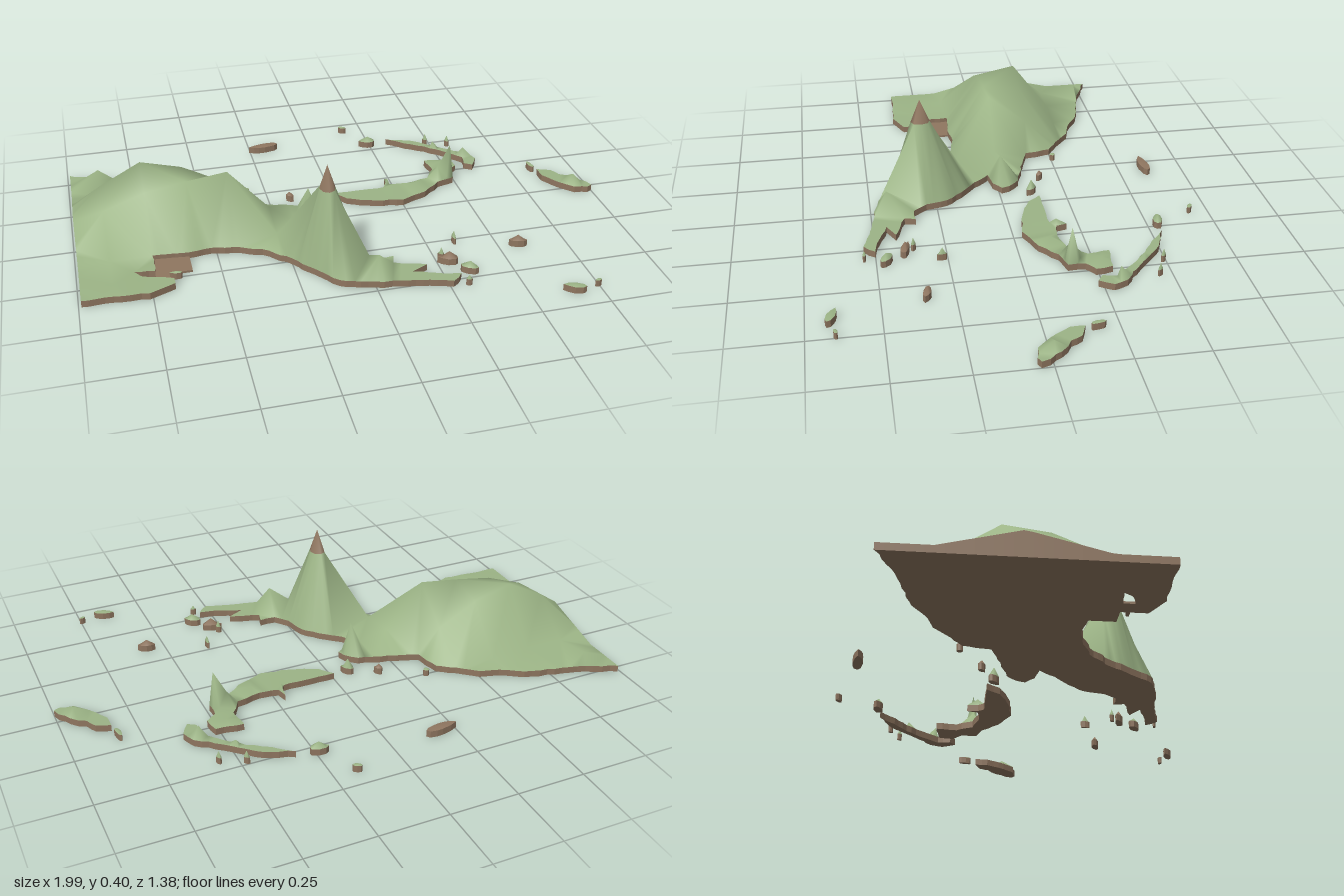
import * as THREE from 'three';

const grass = new THREE.MeshStandardMaterial({ color: 0x9cb486 });
grass.name = 'grass green';
const rock = new THREE.MeshStandardMaterial({ color: 0x8f7660 });
rock.name = 'rock brown';

let seed = 7;
const rand = () => ((seed = (seed * 16807) % 2147483647) / 2147483647) - 0.5;

const COAST = 0.025;
// The straight west border rises where the ridge runs off the edge.
const coastHeight = (x, z) =>
  x < -0.98 ? COAST + 0.065 * Math.max(0, 1 - Math.abs(z + 0.1) / 0.26) : COAST;

// Subdivide a closed outline (in hundredths) into a slightly ragged coast.
function coastline(flat) {
  const pts = [];
  for (let i = 0; i < flat.length; i += 2) pts.push(new THREE.Vector2(flat[i] / 100, flat[i + 1] / 100));
  if (THREE.ShapeUtils.area(pts) < 0) pts.reverse();
  const out = [];
  pts.forEach((a, i) => {
    const b = pts[(i + 1) % pts.length];
    const n = Math.max(1, Math.round(a.distanceTo(b) / 0.028));
    const border = a.x < -0.98 && b.x < -0.98;
    for (let k = 0; k < n; k++) {
      const p = a.clone().lerp(b, k / n);
      if (k && !border) p.add(new THREE.Vector2(rand(), rand()).multiplyScalar(0.008));
      out.push(p);
    }
  });
  return out;
}

function inside(poly, x, y) {
  let hit = false;
  for (let i = 0, j = poly.length - 1; i < poly.length; j = i++) {
    const a = poly[i], b = poly[j];
    if ((a.y > y) !== (b.y > y) && x < ((b.x - a.x) * (y - a.y)) / (b.y - a.y) + a.x) hit = !hit;
  }
  return hit;
}

// Delaunay triangulation of 2D points, by incremental insertion.
function delaunay(points) {
  const n = points.length;
  const p = [...points.map((q) => [q.x + rand() * 1e-5, q.y + rand() * 1e-5]), [-30, -20], [30, -20], [0, 40]];
  const make = (a, b, c) => {
    const [ax, ay] = p[a], bx = p[b][0] - ax, by = p[b][1] - ay, cx = p[c][0] - ax, cy = p[c][1] - ay;
    const d = 2 * (bx * cy - by * cx), bb = bx * bx + by * by, cc = cx * cx + cy * cy;
    const ux = (cy * bb - by * cc) / d, uy = (bx * cc - cx * bb) / d;
    return { v: [a, b, c], x: ax + ux, y: ay + uy, r: ux * ux + uy * uy };
  };
  let tris = [make(n, n + 1, n + 2)];
  for (let i = 0; i < n; i++) {
    const edges = new Map(), keep = [];
    for (const t of tris) {
      if ((p[i][0] - t.x) ** 2 + (p[i][1] - t.y) ** 2 >= t.r) { keep.push(t); continue; }
      for (let k = 0; k < 3; k++) {
        const a = t.v[k], b = t.v[(k + 1) % 3], key = Math.min(a, b) + '_' + Math.max(a, b);
        if (edges.has(key)) edges.delete(key); else edges.set(key, [a, b]);
      }
    }
    for (const [a, b] of edges.values()) keep.push(make(a, b, i));
    tris = keep;
  }
  return tris.map((t) => t.v).filter((v) => v.every((k) => k < n));
}

function geometry(positions, index) {
  const g = new THREE.BufferGeometry();
  g.setAttribute('position', new THREE.Float32BufferAttribute(positions, 3));
  if (index) g.setIndex(index);
  g.computeVertexNormals();
  return g;
}

// One land mass: terrain through coast and peaks [x, z, height], cliffs and underside.
function land(name, flat, peaks = [], topMaterial = grass, rockAbove = 9) {
  const group = new THREE.Group();
  group.name = name;
  const edge = coastline(flat);
  const inner = peaks.filter(([x, z]) => inside(edge, x, z));
  const flatPts = [...edge, ...inner.map(([x, z]) => new THREE.Vector2(x, z))];
  const heights = [...edge.map((q) => coastHeight(q.x, q.y)), ...inner.map((q) => q[2])];

  const low = [], high = [];
  for (const t of delaunay(flatPts)) {
    const [a, b, c] = t.map((k) => flatPts[k]);
    if (!inside(edge, (a.x + b.x + c.x) / 3, (a.y + b.y + c.y) / 3)) continue;
    const up = (b.y - a.y) * (c.x - a.x) - (b.x - a.x) * (c.y - a.y) > 0;
    const tri = up ? t : [t[0], t[2], t[1]];
    (tri.every((k) => heights[k] >= rockAbove) ? high : low).push(...tri);
  }
  const top = geometry(flatPts.flatMap((q, i) => [q.x, heights[i], q.y]), [...low, ...high]);
  top.addGroup(0, low.length, 0);
  top.addGroup(low.length, high.length, 1);
  const terrain = new THREE.Mesh(top, [topMaterial, rock]);
  terrain.name = name + 'Terrain';

  const walls = [];
  edge.forEach((a, i) => {
    const b = edge[(i + 1) % edge.length], ha = coastHeight(a.x, a.y), hb = coastHeight(b.x, b.y);
    walls.push(a.x, 0, a.y, a.x, ha, a.y, b.x, hb, b.y, a.x, 0, a.y, b.x, hb, b.y, b.x, 0, b.y);
  });
  for (const t of THREE.ShapeUtils.triangulateShape(edge, [])) {
    for (const k of t) walls.push(edge[k].x, 0, edge[k].y);
  }
  const cliffs = new THREE.Mesh(geometry(walls), rock);
  cliffs.name = name + 'Cliffs';
  group.add(terrain, cliffs);
  return group;
}

export function createModel() {
  const model = new THREE.Group();
  model.name = 'islandMap';

  // Mainland: hill ridge, the tall cone with its rocky tip, and low foothills
  const hills = [
    [-0.88, -0.46, 0.075], [-0.73, -0.31, 0.05], [-0.88, -0.31, 0.045], [-0.58, -0.31, 0.04],
    [-0.88, -0.16, 0.17], [-0.73, -0.16, 0.25], [-0.58, -0.16, 0.21], [-0.43, -0.16, 0.13],
    [-0.88, -0.01, 0.15], [-0.73, -0.01, 0.205], [-0.58, -0.01, 0.23], [-0.43, -0.01, 0.25],
    [-0.28, -0.01, 0.08], [-0.13, -0.01, 0.14], [-0.28, 0.14, 0.055], [-0.88, 0.14, 0.03],
    [-0.88, 0.29, 0.03], [0.02, 0.44, 0.105], [-0.127, 0.293, 0.4],
  ];
  for (let i = 0; i < 8; i++) {
    const a = (i * Math.PI) / 4;
    hills.push([-0.127 + 0.028 * Math.cos(a), 0.293 + 0.036 * Math.sin(a), 0.31]);
  }
  model.add(land('mainland', [
    -99, -53, -85, -47, -65, -42, -57, -37, -50, -35, -43, -29, -37, -25, -35, -15, -24, -11, -13, -8,
    -9, -4, -8, -1, -12, 2, -19, 3, -14, 9, -7, 15, -2, 21, 0, 29, 4, 34, 10, 34, 9, 38, 20, 42, 14, 45,
    22, 48, 30, 50, 26, 54, 16, 51, 0, 48, -12, 44, -19, 35, -25, 27, -32, 20, -42, 15, -52, 13, -60, 14,
    -73, 13, -73, 23, -80, 22, -78, 25, -67, 29, -67, 32, -76, 36, -88, 35, -99, 35,
  ], hills, grass, 0.3));

  // Bare rock shelf in the south bay
  [[-0.665, 0.18, 0.13, 0.1], [-0.7, 0.26, 0.06, 0.06]].forEach(([x, z, w, d]) => {
    const shelf = new THREE.Mesh(new THREE.BoxGeometry(w, 0.008, d), rock);
    shelf.name = 'rockShelf';
    shelf.position.set(x, 0.004, z);
    model.add(shelf);
  });

  // Larger islands
  model.add(land('crescentIsland', [
    0, -14, 9, -14, 20, -14, 21.5, -16, 22, -20, 23, -16, 30, -15, 39, -17, 43, -23, 42, -31, 52, -30, 53, -24,
    49, -21, 49, -15, 42, -13, 35, -7, 25, -3, 14, -5, 4, -9,
  ], [
    [0.476, -0.163, 0.165], [0.468, -0.195, 0.035], [0.462, -0.143, 0.035], [0.43, -0.165, 0.075],
    [0.22, -0.16, 0.05], [0.32, -0.12, 0.04], [0.47, -0.27, 0.035],
  ]));
  model.add(land('arcIsland', [
    32, -53, 42, -49, 51, -41, 61, -33, 63, -28, 60, -23, 57, -25, 58, -30, 50, -39, 41, -46,
  ], [[0.49, -0.42, 0.05], [0.585, -0.31, 0.065]]));
  model.add(land('eastIsland', [
    84, -13, 89, -11, 91, -7, 96, -3, 99, 1, 100, 4, 98, 5, 93, 4, 87, -3, 84, -8,
  ], [[0.94, -0.01, 0.055]]));

  // Islets: centre x, z, half length, half width, turn, peak, material
  [
    [0.24, -0.535, 0.03, 0.016, 0.2, 0.045, grass], [0.165, -0.68, 0.015, 0.008, 0.5, 0.03, grass],
    [-0.19, -0.6, 0.055, 0.015, -0.05, 0.03, rock], [-0.065, -0.12, 0.022, 0.012, 0.8, 0.06, grass],
    [-0.325, -0.255, 0.01, 0.009, 0.6, 0.03, grass], [-0.17, -0.17, 0.015, 0.009, 0.7, 0.04, rock],
    [0.48, -0.49, 0.01, 0.006, 0.8, 0.05, grass], [0.565, -0.455, 0.01, 0.005, 1, 0.05, grass],
    [0.29, 0.395, 0.033, 0.013, 0.35, 0.05, rock], [0.345, 0.465, 0.03, 0.014, 0.6, 0.045, grass],
    [0.57, 0.345, 0.028, 0.013, 0.3, 0.045, rock], [0.655, 0.665, 0.034, 0.013, 0.4, 0.03, grass],
    [0.745, 0.652, 0.012, 0.006, -0.2, 0.03, grass], [0.35, 0.27, 0.016, 0.005, 1.5, 0.05, grass],
    [0.315, 0.54, 0.01, 0.005, 0.2, 0.04, grass], [-0.66, 0.255, 0.02, 0.006, 0.1, 0.03, grass],
    [0.27, 0.365, 0.01, 0.006, 0.7, 0.05, grass], [0.828, -0.175, 0.024, 0.008, 1.4, 0.03, grass],
  ].forEach(([x, z, l, w, turn, peak, material], i) => {
    const outline = [];
    for (let k = 0; k < 8; k++) {
      const a = (k * Math.PI) / 4, r = 1.1 + rand() * 0.3;
      const u = l * r * Math.cos(a), v = w * r * Math.sin(a);
      outline.push(100 * (x + u * Math.cos(turn) - v * Math.sin(turn)), 100 * (z + u * Math.sin(turn) + v * Math.cos(turn)));
    }
    model.add(land('islet' + (i + 1), outline, [[x, z, peak]], material));
  });

  return model;
}
